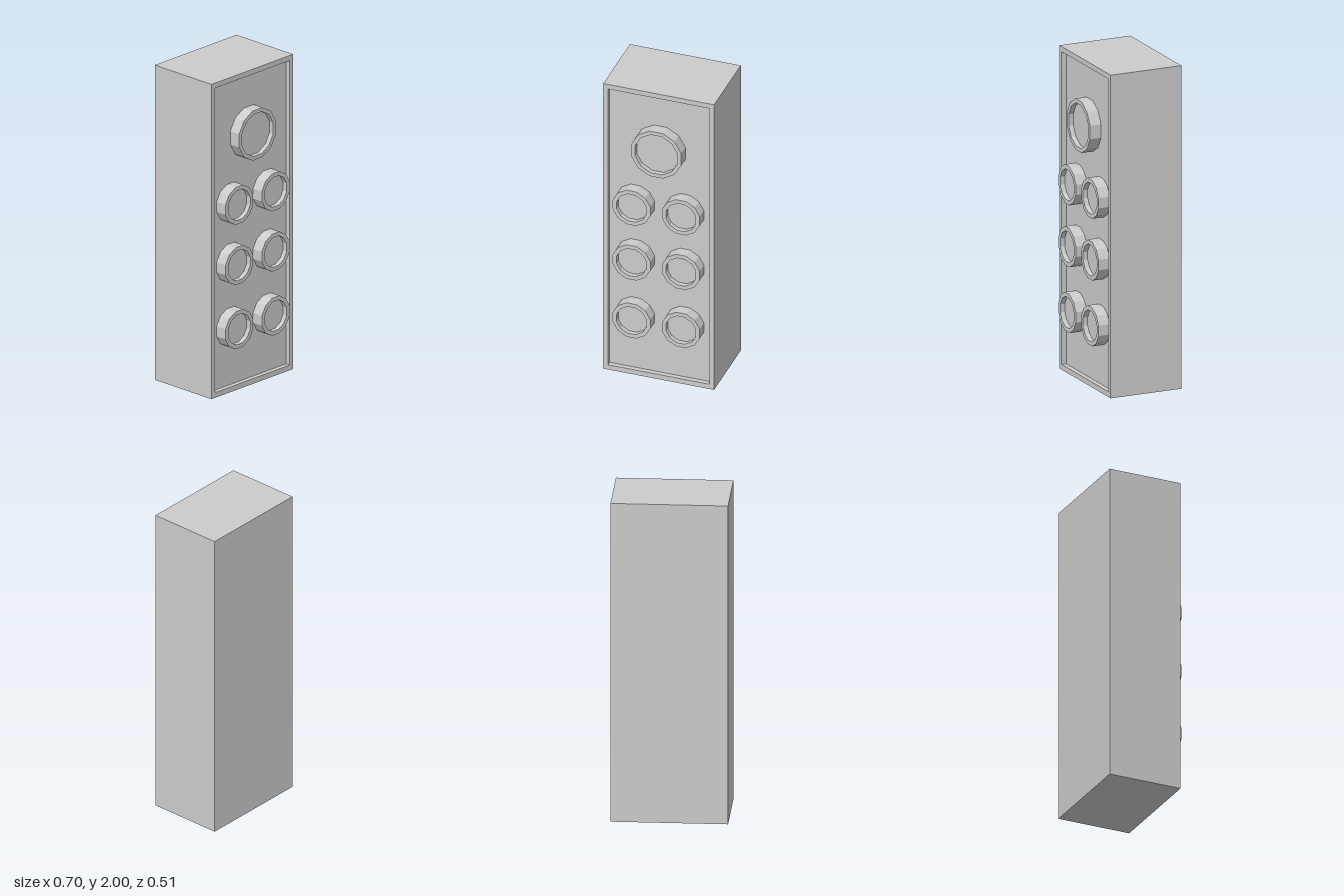
import * as THREE from 'three';

const FRONT = 0.212, BACK = -0.255, RECESS = 0.03;
const FLOOR = FRONT - RECESS;

const material = new THREE.MeshStandardMaterial({ color: 0xcccccc, flatShading: true });

// Cabinet skin: rectangular sections lofted from the back, around the rim, into the recess
function cabinetGeometry() {
  const sections = [
    { w: 0.35, y0: 0, y1: 2, z: BACK },
    { w: 0.35, y0: 0, y1: 2, z: FRONT },
    { w: 0.32, y0: 0.033, y1: 1.968, z: FRONT },
    { w: 0.32, y0: 0.033, y1: 1.968, z: FLOOR },
  ];
  const positions = [], index = [];
  for (const { w, y0, y1, z } of sections) {
    positions.push(-w, y0, z, w, y0, z, w, y1, z, -w, y1, z);
  }
  const quad = (a, b, c, d) => index.push(a, b, c, a, c, d);
  for (let s = 0; s < sections.length - 1; s++) {
    for (let j = 0; j < 4; j++) {
      const a = s * 4 + j, b = s * 4 + (j + 1) % 4;
      quad(a, b, b + 4, a + 4);
    }
  }
  quad(3, 2, 1, 0);
  const last = (sections.length - 1) * 4;
  quad(last, last + 1, last + 2, last + 3);

  const indexed = new THREE.BufferGeometry();
  indexed.setAttribute('position', new THREE.Float32BufferAttribute(positions, 3));
  indexed.setIndex(index);
  const geometry = indexed.toNonIndexed();
  geometry.computeVertexNormals();
  return geometry;
}

// Twelve-sided lamp: raised ring with a dished face, pointing to +z
function lamp(name, outer, inner, x, y) {
  const height = 0.255 - FLOOR, dish = 0.03;
  const profile = [
    [outer, 0], [outer, height], [inner, height], [inner, height - dish], [0, height - dish],
  ].map(([r, h]) => new THREE.Vector2(r, h));
  const geometry = new THREE.LatheGeometry(profile, 12, Math.PI / 12);
  geometry.rotateX(Math.PI / 2);
  const mesh = new THREE.Mesh(geometry, material);
  mesh.name = name;
  mesh.position.set(x, y, FLOOR);
  return mesh;
}

export function createModel() {
  const group = new THREE.Group();
  group.name = 'lampCabinet';

  const cabinet = new THREE.Mesh(cabinetGeometry(), material);
  cabinet.name = 'cabinet';
  group.add(cabinet);

  // One large lamp on top, three rows of small ones below
  group.add(lamp('largeLamp', 0.163, 0.138, 0, 1.6));
  [1.193, 0.81, 0.403].forEach((y, row) => {
    group.add(lamp(`leftLamp${row + 1}`, 0.123, 0.097, 0.156, y));
    group.add(lamp(`rightLamp${row + 1}`, 0.123, 0.097, -0.156, y));
  });

  return group;
}
